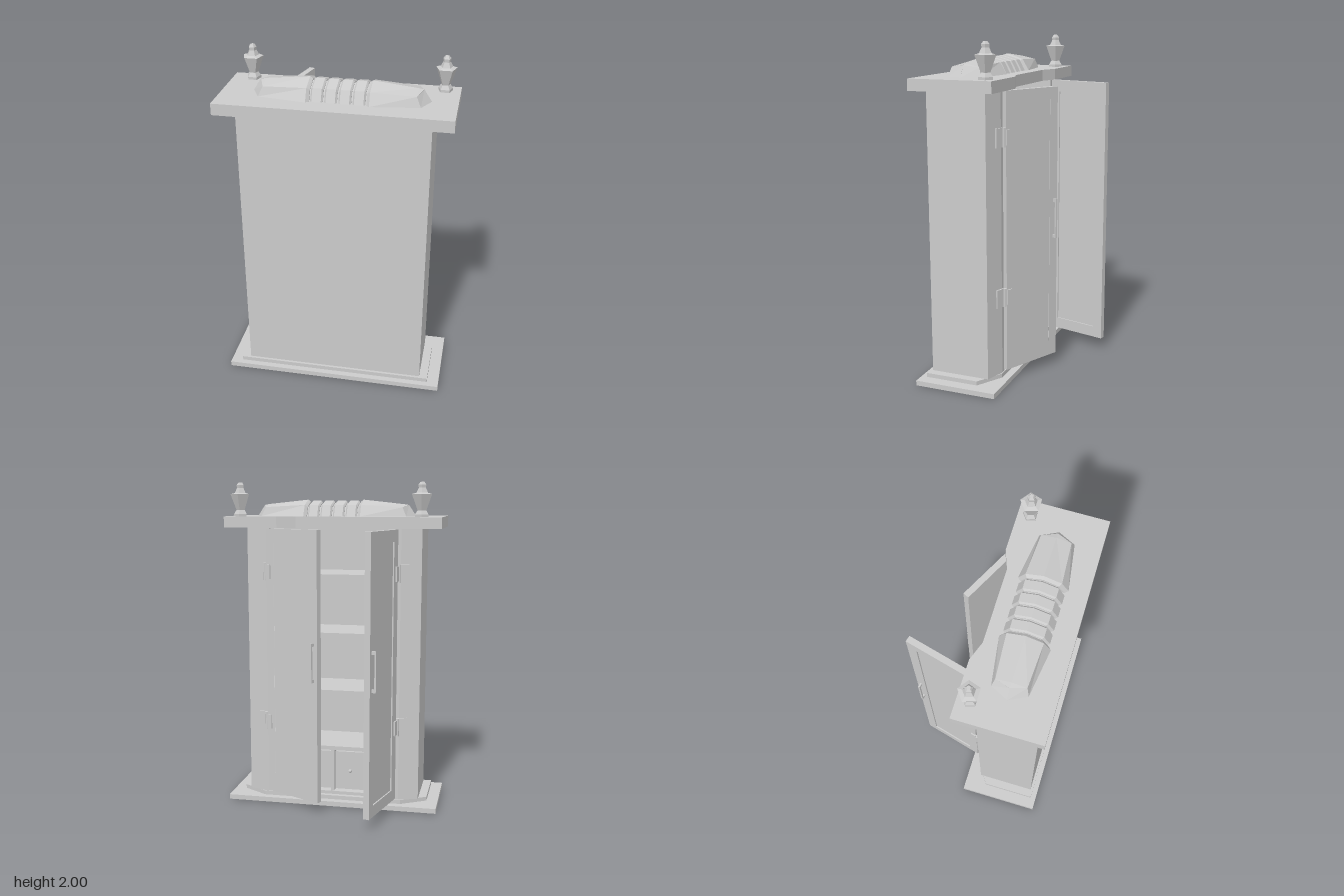
import * as THREE from 'three';

const material = new THREE.MeshStandardMaterial({ color: 0xcccccc, flatShading: true });

function add(parent, name, geometry, x = 0, y = 0, z = 0) {
  const mesh = new THREE.Mesh(geometry, material);
  mesh.name = name;
  mesh.position.set(x, y, z);
  parent.add(mesh);
  return mesh;
}

const box = (w, h, d) => new THREE.BoxGeometry(w, h, d);

// Upright prism from half a floor plan of [x, z] points, mirrored across x = 0
function planPrism(half, y0, y1) {
  const all = [...half, ...half.map(([x, z]) => [-x, z]).reverse()];
  const shape = new THREE.Shape(all.map(([x, z]) => new THREE.Vector2(x, -z)));
  const geometry = new THREE.ExtrudeGeometry(shape, { depth: y1 - y0, bevelEnabled: false });
  return geometry.rotateX(-Math.PI / 2).translate(0, y0, 0);
}

// Loft through five-point arched sections running along +x
function loft(rows) {
  const positions = [];
  const tri = (...points) => points.forEach((p) => positions.push(...p));
  for (let i = 0; i < rows.length - 1; i++) {
    for (let j = 0; j < 4; j++) {
      const a = rows[i][j], b = rows[i + 1][j], c = rows[i + 1][j + 1], d = rows[i][j + 1];
      tri(a, b, c);
      tri(a, c, d);
    }
  }
  const first = rows[0], last = rows[rows.length - 1];
  for (let j = 1; j < 4; j++) {
    tri(first[0], first[j], first[j + 1]);
    tri(last[0], last[j + 1], last[j]);
  }
  const geometry = new THREE.BufferGeometry();
  geometry.setAttribute('position', new THREE.Float32BufferAttribute(positions, 3));
  geometry.computeVertexNormals();
  return geometry;
}

// Arched section: x at the base and top, half widths, shoulder and ridge heights
function arch(xBase, xTop, base, shoulder, yShoulder, yRidge) {
  return [
    [xBase, 0, base], [xTop, yShoulder, shoulder], [xTop, yRidge, 0],
    [xTop, yShoulder, -shoulder], [xBase, 0, -base],
  ];
}

function createCrest() {
  const crest = new THREE.Group();
  crest.name = 'crest';
  crest.position.set(0.015, 1.797, 0.18);
  const end = [
    arch(-0.5, -0.455, 0, 0, 0.066, 0.068),
    arch(-0.45, -0.425, 0.1, 0.085, 0.055, 0.073),
    arch(-0.175, -0.175, 0.14, 0.1, 0.068, 0.1),
    arch(-0.158, -0.158, 0.122, 0.088, 0.058, 0.088),
  ];
  add(crest, 'crestEnd', loft(end));
  add(crest, 'crestEnd', loft(end.map((row) => row.map(([x, y, z]) => [-x, y, z])).reverse()));
  add(crest, 'crestCore', loft([-0.16, 0.16].map((x) => arch(x, x, 0.11, 0.08, 0.055, 0.08))));
  for (let i = 0; i < 4; i++) {
    const rib = [
      arch(-0.035, -0.035, 0.115, 0.082, 0.06, 0.085),
      arch(-0.026, -0.026, 0.127, 0.092, 0.067, 0.094),
      arch(0.026, 0.026, 0.127, 0.092, 0.067, 0.094),
      arch(0.035, 0.035, 0.115, 0.082, 0.06, 0.085),
    ];
    add(crest, 'crestRib', loft(rib), (i - 1.5) * 0.078);
  }
  return crest;
}

// Framed door hung on its outer corner; dir is +1 when it reaches toward +x
function createDoor(dir, angle) {
  const door = new THREE.Group();
  door.name = dir > 0 ? 'rightDoor' : 'leftDoor';
  const width = 0.4, y0 = 0.07, y1 = 1.725, thick = 0.036;
  const rect = (Type, inX, inY) => new Type([
    [inX, y0 + inY], [width - inX, y0 + inY], [width - inX, y1 - inY], [inX, y1 - inY],
  ].map(([x, y]) => new THREE.Vector2(dir * x, y)));
  const frame = rect(THREE.Shape, 0, 0);
  frame.holes.push(rect(THREE.Path, 0.06, 0.07));
  add(door, 'doorFrame', new THREE.ExtrudeGeometry(frame, { depth: thick, bevelEnabled: false }));
  add(door, 'doorPanel', box(width - 0.11, y1 - y0 - 0.13, thick - 0.016),
    dir * width / 2, (y0 + y1) / 2, thick / 2);
  // Pull handle with two posts
  add(door, 'handleGrip', box(0.012, 0.24, 0.01), dir * 0.372, 0.94, -0.022);
  for (const y of [0.83, 1.05]) add(door, 'handlePost', box(0.012, 0.02, 0.02), dir * 0.372, y, -0.009);
  // Hinge leaves that turn with the door
  for (const y of [0.525, 1.465]) add(door, 'hingeDoorLeaf', box(0.035, 0.09, 0.01), dir * 0.018, y, -0.003);
  door.position.set(-dir * 0.405, 0, -0.045);
  door.rotation.y = dir * angle;
  return door;
}

export function createModel() {
  const model = new THREE.Group();
  model.name = 'cabinet';

  // Base and top
  add(model, 'basePlate', box(1.32, 0.03, 0.5), 0, 0.015, 0.18);
  add(model, 'baseStep', planPrism([[0.59, 0.395], [0.59, 0.07], [0.435, -0.025]], 0.03, 0.055));
  add(model, 'topSlab', planPrism([[0.66, 0.43], [0.66, -0.07], [0.33, -0.07], [0.22, -0.03]], 1.73, 1.797));

  // Hollow body, open at the back, with canted corners
  add(model, 'body', planPrism([
    [0.39, -0.02], [0.42, -0.02], [0.54, 0.02], [0.54, 0.38],
  ].concat([]).reverse().concat([[0.39, 0.01], [0.51, 0.04], [0.51, 0.35]]), 0.055, 1.73));

  // Shelves
  for (const y of [0.37, 0.73, 1.09, 1.45]) {
    add(model, 'shelf', planPrism([[0.515, 0.36], [0.515, 0.035], [0.385, 0.0]], y - 0.025, y));
  }

  // Drawers below the lowest shelf
  add(model, 'cabinetFloor', box(0.78, 0.02, 0.35), 0, 0.065, 0.178);
  add(model, 'drawerDivider', box(0.02, 0.27, 0.34), 0, 0.21, 0.18);
  for (const s of [-1, 1]) {
    add(model, 'drawer', box(0.36, 0.245, 0.3), s * 0.195, 0.207, 0.18);
    for (const x of [0.11, 0.28]) {
      add(model, 'drawerKnob', new THREE.SphereGeometry(0.012, 8, 6), s * x, 0.207, 0.022);
    }
  }

  // Doors, left wide open and right ajar
  model.add(createDoor(1, THREE.MathUtils.degToRad(75.5)));
  model.add(createDoor(-1, THREE.MathUtils.degToRad(26.5)));

  // Fixed hinge leaves and knuckles
  for (const s of [-1, 1]) {
    for (const y of [0.525, 1.465]) {
      const leaf = add(model, 'hingeLeaf', box(0.055, 0.11, 0.012), s * 0.442, y, -0.017);
      leaf.rotation.y = -s * 0.32;
      add(model, 'hingeKnuckle', new THREE.CylinderGeometry(0.01, 0.01, 0.11, 8), s * 0.413, y, -0.036);
    }
  }

  // Crest and five-sided urn finials
  model.add(createCrest());
  const urn = [
    [0, 1.797], [0.042, 1.797], [0.042, 1.812], [0.027, 1.835], [0.062, 1.93], [0.036, 1.937],
    [0.022, 1.966], [0.024, 1.984], [0.012, 2], [0, 2],
  ].map(([r, y]) => new THREE.Vector2(r, y));
  for (const x of [-0.537, 0.572]) add(model, 'finial', new THREE.LatheGeometry(urn, 5, Math.PI), x, 0, 0);

  return model;
}
